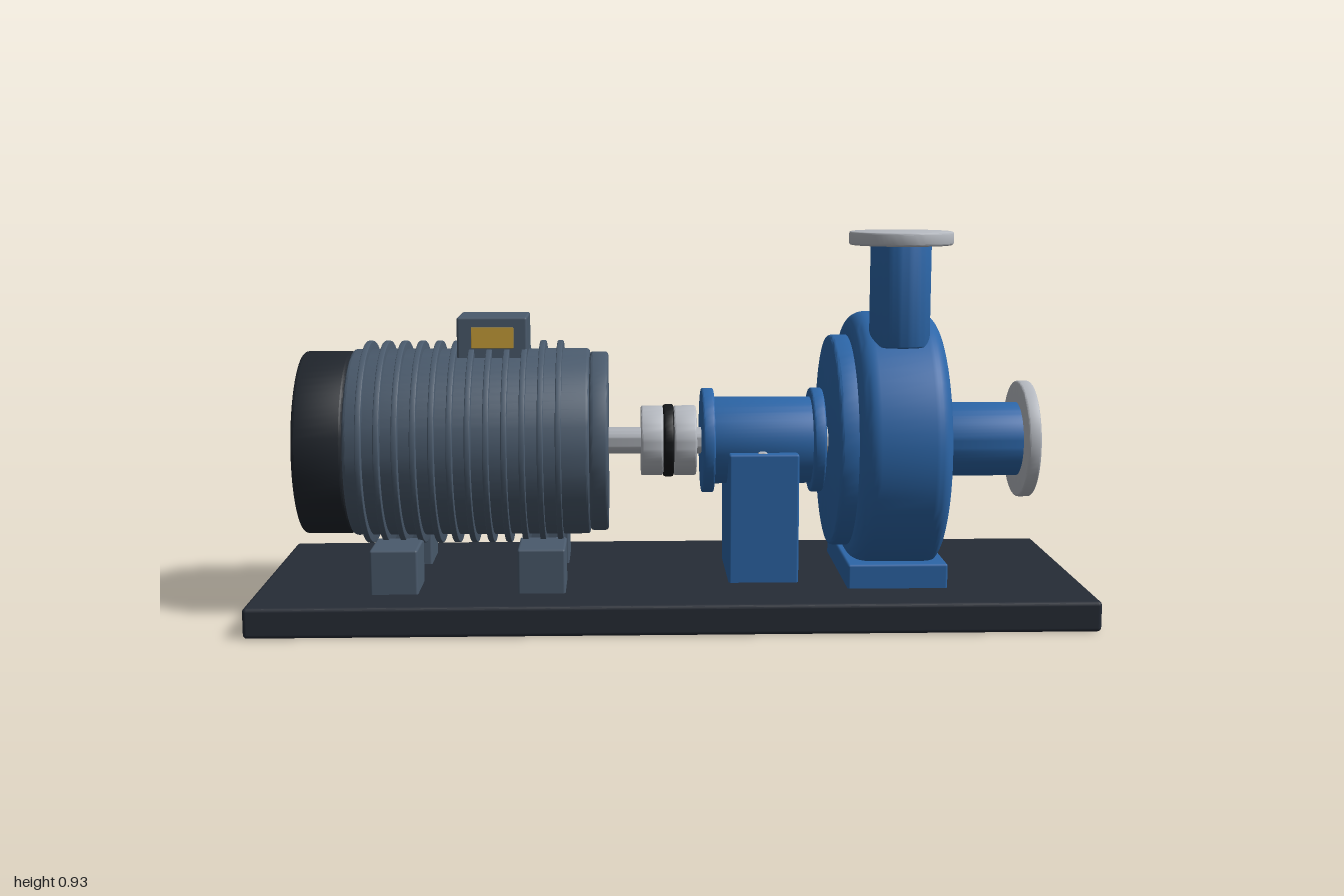
import * as THREE from 'three';
import { toCreasedNormals } from 'three/addons/utils/BufferGeometryUtils.js';
import { RoundedBoxGeometry } from 'three/addons/geometries/RoundedBoxGeometry.js';

const AXIS_Y = 0.405; // height of the common shaft line
const mat = (color) => new THREE.MeshStandardMaterial({ color });

// Solid round part along y from 0 to length, with rounded rims
function turned(r, length, bevel) {
  const pts = [new THREE.Vector2(0, 0)];
  const steps = bevel > 0.02 ? 8 : 3;
  for (const top of [0, 1]) {
    for (let i = 0; i <= steps; i++) {
      const a = (i / steps + top - 1) * Math.PI / 2;
      const cy = top ? length - bevel : bevel;
      pts.push(new THREE.Vector2(r - bevel + bevel * Math.cos(a), cy + bevel * Math.sin(a)));
    }
  }
  pts.push(new THREE.Vector2(0, length));
  return toCreasedNormals(new THREE.LatheGeometry(pts, 64), 0.65);
}

export function createModel() {
  const model = new THREE.Group();
  model.name = 'pumpSet';
  const dark = mat(0x262c36), cover = mat(0x20252c), grey = mat(0x4a5a6c);
  const blue = mat(0x2c66a8), steel = mat(0xb6bac1), rubber = mat(0x15171a), gold = mat(0xc9a03a);

  const add = (name, geometry, material, parent = model) => {
    const mesh = new THREE.Mesh(geometry, material);
    mesh.name = name;
    parent.add(mesh);
    return mesh;
  };
  // Box given by its limits on each axis
  const box = (name, [x0, x1], [y0, y1], [z0, z1], material, parent, round = 0.006) => {
    const g = new RoundedBoxGeometry(x1 - x0, y1 - y0, z1 - z0, 2, round);
    g.translate((x0 + x1) / 2, (y0 + y1) / 2, (z0 + z1) / 2);
    return add(name, g, material, parent);
  };
  // Round part on the shaft line, from x0 to x1
  const onShaft = (name, x0, x1, r, material, parent, bevel = 0.005) =>
    add(name, turned(r, x1 - x0, bevel).rotateZ(-Math.PI / 2).translate(x0, AXIS_Y, 0), material, parent);
  const group = (name) => {
    const g = new THREE.Group();
    g.name = name;
    model.add(g);
    return g;
  };

  box('basePlate', [-1, 1], [0, 0.073], [-0.345, 0.345], dark, model, 0.01);

  // Electric motor with cooling fins
  const motor = group('motor');
  onShaft('motorBody', -0.78, -0.2, 0.23, grey, motor, 0.008);
  onShaft('fanCover', -0.9, -0.78, 0.225, cover, motor, 0.008);
  onShaft('endBell', -0.2, -0.155, 0.222, grey, motor, 0.008);
  for (let i = 0; i < 12; i++) {
    const x = -0.74 + i * 0.0425;
    onShaft('coolingFin', x - 0.007, x + 0.007, 0.25, grey, motor, 0.002);
  }
  for (const x of [-0.665, -0.315]) {
    for (const z of [-0.155, 0.155]) {
      box('motorFoot', [x - 0.057, x + 0.057], [0.065, 0.18], [z - 0.07, z + 0.07], grey, motor);
    }
  }
  box('terminalBox', [-0.52, -0.35], [0.59, 0.72], [-0.078, 0.078], grey, motor);
  box('ratingPlate', [-0.485, -0.383], [0.645, 0.695], [0.072, 0.081], gold, motor, 0.001);

  // Shaft and flexible coupling
  const coupling = group('coupling');
  onShaft('shaft', -0.17, 0.42, 0.033, steel, coupling, 0.002);
  onShaft('motorHub', -0.075, -0.02, 0.087, steel, coupling);
  onShaft('couplingInsert', -0.02, 0.006, 0.09, rubber, coupling);
  onShaft('pumpHub', 0.006, 0.062, 0.087, steel, coupling);

  // Bearing housing on its pedestal
  const bearing = group('bearingHousing');
  onShaft('housingBody', 0.09, 0.36, 0.108, blue, bearing);
  onShaft('housingFlange', 0.075, 0.105, 0.13, blue, bearing);
  onShaft('housingFlange', 0.345, 0.375, 0.13, blue, bearing);
  box('pedestal', [0.137, 0.308], [0.065, 0.39], [-0.14, 0.135], blue, bearing);
  add('sightGlass', turned(0.018, 0.03, 0.003).rotateX(Math.PI / 2).translate(0.22, 0.376, 0.095), steel, bearing);

  // Pump casing with suction and discharge nozzles
  const pump = group('pump');
  onShaft('backCover', 0.39, 0.45, 0.262, blue, pump, 0.01);
  onShaft('volute', 0.435, 0.652, 0.32, blue, pump, 0.045);
  box('pumpFoot', [0.42, 0.662], [0.065, 0.132], [-0.202, 0.202], blue, pump);
  onShaft('suctionPipe', 0.64, 0.87, 0.092, blue, pump, 0.002);
  onShaft('suctionFlange', 0.864, 0.896, 0.145, steel, pump);
  add('dischargePipe', turned(0.072, 0.245, 0.004).translate(0.542, 0.655, 0.147), blue, pump);
  add('dischargeFlange', turned(0.123, 0.032, 0.005).translate(0.542, 0.896, 0.147), steel, pump);

  return model;
}
